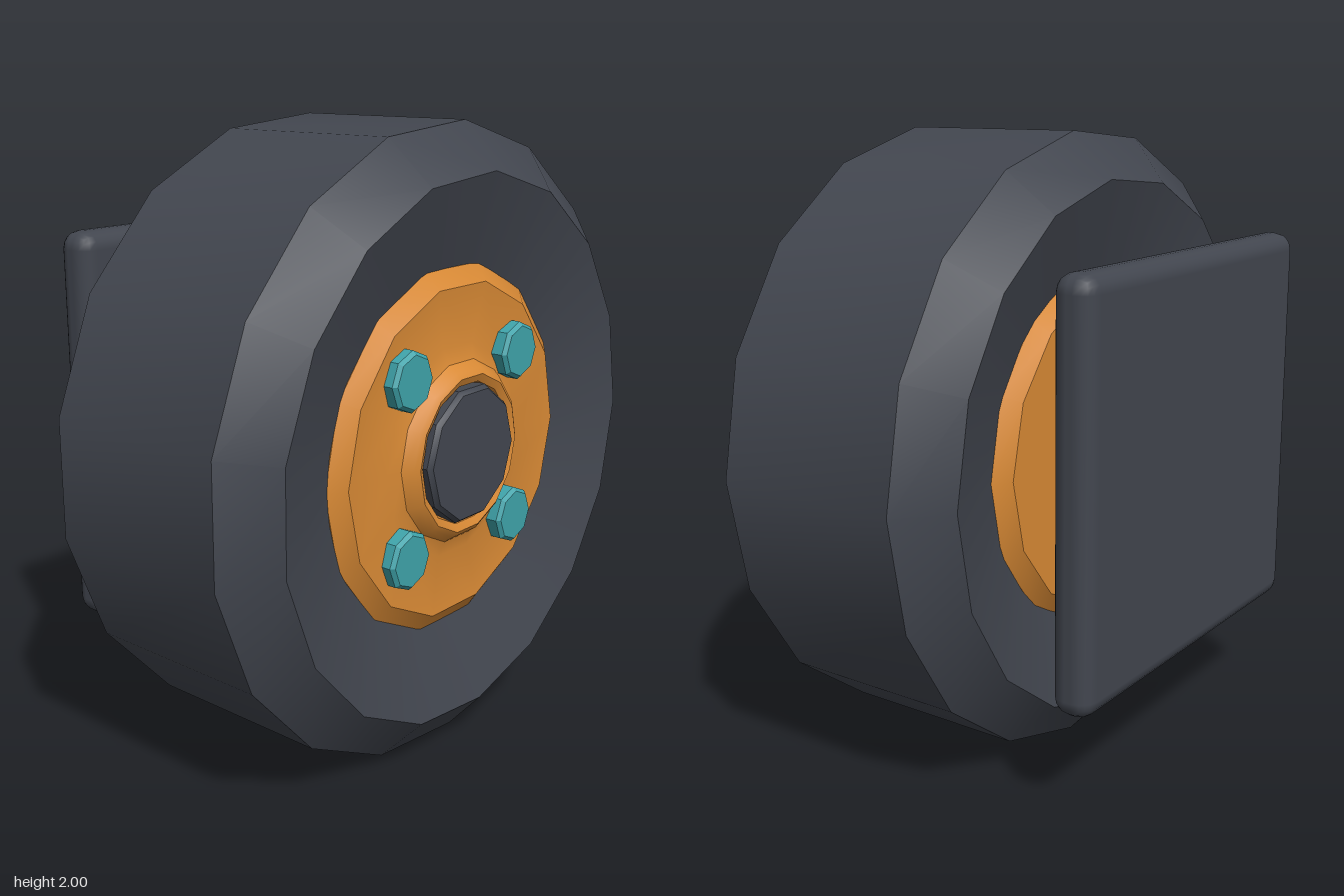
import * as THREE from 'three';
import { toCreasedNormals } from 'three/addons/utils/BufferGeometryUtils.js';
import { RoundedBoxGeometry } from 'three/addons/geometries/RoundedBoxGeometry.js';

const material = (name, color) => {
  const m = new THREE.MeshStandardMaterial({ color });
  m.name = name;
  return m;
};

// Turned part around the x axis; profile is [radius, x] from back (-x) to front (+x)
function turned(profile, sides, start = 0) {
  const points = profile.map(([r, x]) => new THREE.Vector2(r, x));
  const g = new THREE.LatheGeometry(points, sides, start);
  g.rotateZ(-Math.PI / 2);
  return toCreasedNormals(g, 0.56);
}

// Box with 45 degree chamfers, long axis along x
function chamferedBox(length, size, c) {
  const h = size / 2 - c;
  const shape = new THREE.Shape();
  shape.moveTo(-h, -h);
  shape.lineTo(h, -h);
  shape.lineTo(h, h);
  shape.lineTo(-h, h);
  shape.closePath();
  const g = new THREE.ExtrudeGeometry(shape, {
    depth: length - 2 * c, bevelEnabled: true, bevelSize: c, bevelThickness: c, bevelSegments: 2,
  });
  g.translate(0, 0, c - length / 2);
  return g.rotateY(Math.PI / 2);
}

export function createModel() {
  const rubber = material('dark rubber', 0x42464f);
  const orange = material('orange metal', 0xd98a35);
  const teal = material('teal bolts', 0x3fa3aa);
  const pale = material('pale grey', 0xd0d0c8);

  const model = new THREE.Group();
  model.name = 'wheelAssembly';
  const wheel = new THREE.Group();
  wheel.name = 'wheel';
  wheel.position.set(0, 1, 0.0085);
  model.add(wheel);

  const add = (parent, name, geometry, mat, x = 0, y = 0, z = 0) => {
    const mesh = new THREE.Mesh(geometry, mat);
    mesh.name = name;
    mesh.position.set(x, y, z);
    parent.add(mesh);
    return mesh;
  };

  // Tyre with chamfered shoulders and inward sloping sidewalls
  add(wheel, 'tyre', turned([
    [0.5, -0.18], [0.86, -0.3], [1.004, -0.17], [1.004, 0.455], [0.86, 0.583], [0.5, 0.463],
  ], 17, Math.PI), rubber);

  // Hub with bevelled rims, a shallow dish and a raised collar
  add(wheel, 'hub', turned([
    [0, -0.25], [0.53, -0.25], [0.585, -0.205], [0.585, 0.49], [0.53, 0.53],
    [0.34, 0.515], [0.29, 0.53], [0.268, 0.56], [0.25, 0.572], [0.225, 0.56], [0.215, 0.52], [0, 0.52],
  ], 14), orange);

  // Axle cap in the collar
  add(wheel, 'axleCap', turned([
    [0.22, 0.4], [0.22, 0.572], [0.208, 0.587], [0, 0.587],
  ], 10), rubber);

  // Four bolts
  const bolt = turned([[0.094, 0], [0.094, 0.06], [0.082, 0.072], [0, 0.072]], 8);
  for (const y of [-0.276, 0.276]) {
    for (const z of [-0.276, 0.276]) add(wheel, 'bolt', bolt, teal, 0.495, y, z);
  }

  // Axle block between the hub and the mounting plate
  add(wheel, 'axleBlock', chamferedBox(0.31, 0.57, 0.055), pale, -0.3, 0.003, 0);

  // Square mounting plate with rounded edges
  add(model, 'mountingPlate', new RoundedBoxGeometry(0.136, 1.296, 1.296, 2, 0.058), rubber, -0.523, 1.004, 0.004);

  return model;
}
